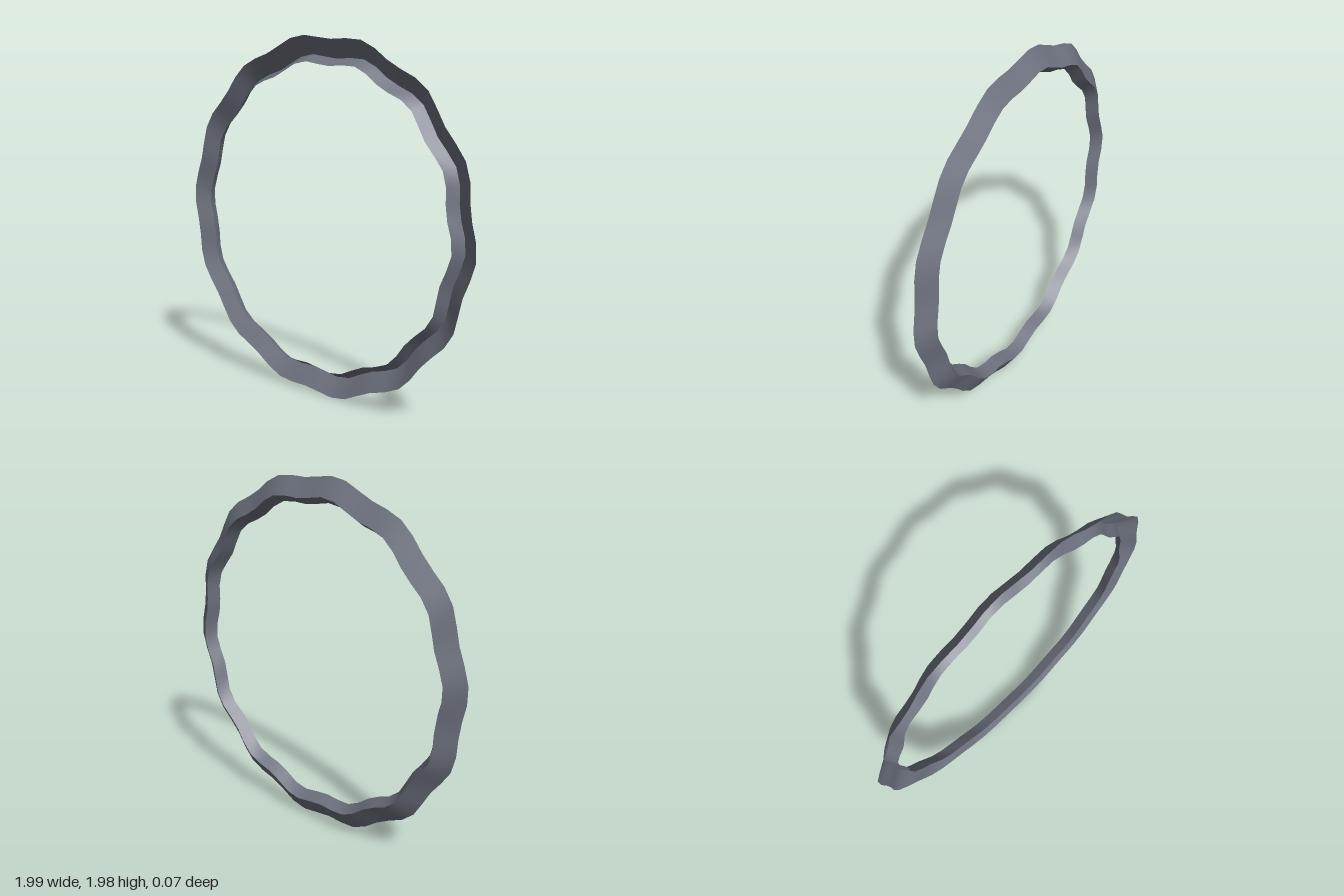
import * as THREE from 'three';

const SEGMENTS = 64;
const LOBES = 14;

// Ring-shaped strip between two circles [radius, z], both with the same gentle ripple
function rippledBand(a, b) {
  const positions = [];
  const indices = [];
  for (let i = 0; i < SEGMENTS; i++) {
    const t = (i / SEGMENTS) * Math.PI * 2;
    const wave = Math.cos(LOBES * t + 1.1);
    const drift = Math.sin(LOBES * t);
    for (const [radius, z] of [a, b]) {
      const r = radius + 0.015 * wave;
      positions.push(r * Math.cos(t), r * Math.sin(t), z + 0.002 * drift);
    }
    const p = i * 2;
    const q = ((i + 1) % SEGMENTS) * 2;
    indices.push(p, q, p + 1, q, q + 1, p + 1);
  }
  const geometry = new THREE.BufferGeometry();
  geometry.setAttribute('position', new THREE.Float32BufferAttribute(positions, 3));
  geometry.setIndex(indices);
  geometry.computeVertexNormals();
  return geometry;
}

export function createModel() {
  const group = new THREE.Group();
  group.name = 'rippledRing';

  const slate = new THREE.MeshStandardMaterial({ color: 0x6e7380, side: THREE.DoubleSide });
  slate.name = 'slateGrey';

  // V-shaped trough, open to the front: outer lip, valley, inner lip
  const outerLip = [0.985, 0.033];
  const valley = [0.884, -0.034];
  const innerLip = [0.845, 0.031];

  const parts = [
    ['outerBand', valley, outerLip],
    ['innerBand', innerLip, valley],
  ];
  for (const [name, from, to] of parts) {
    const mesh = new THREE.Mesh(rippledBand(from, to), slate);
    mesh.name = name;
    mesh.position.y = 0.997;
    group.add(mesh);
  }
  return group;
}
